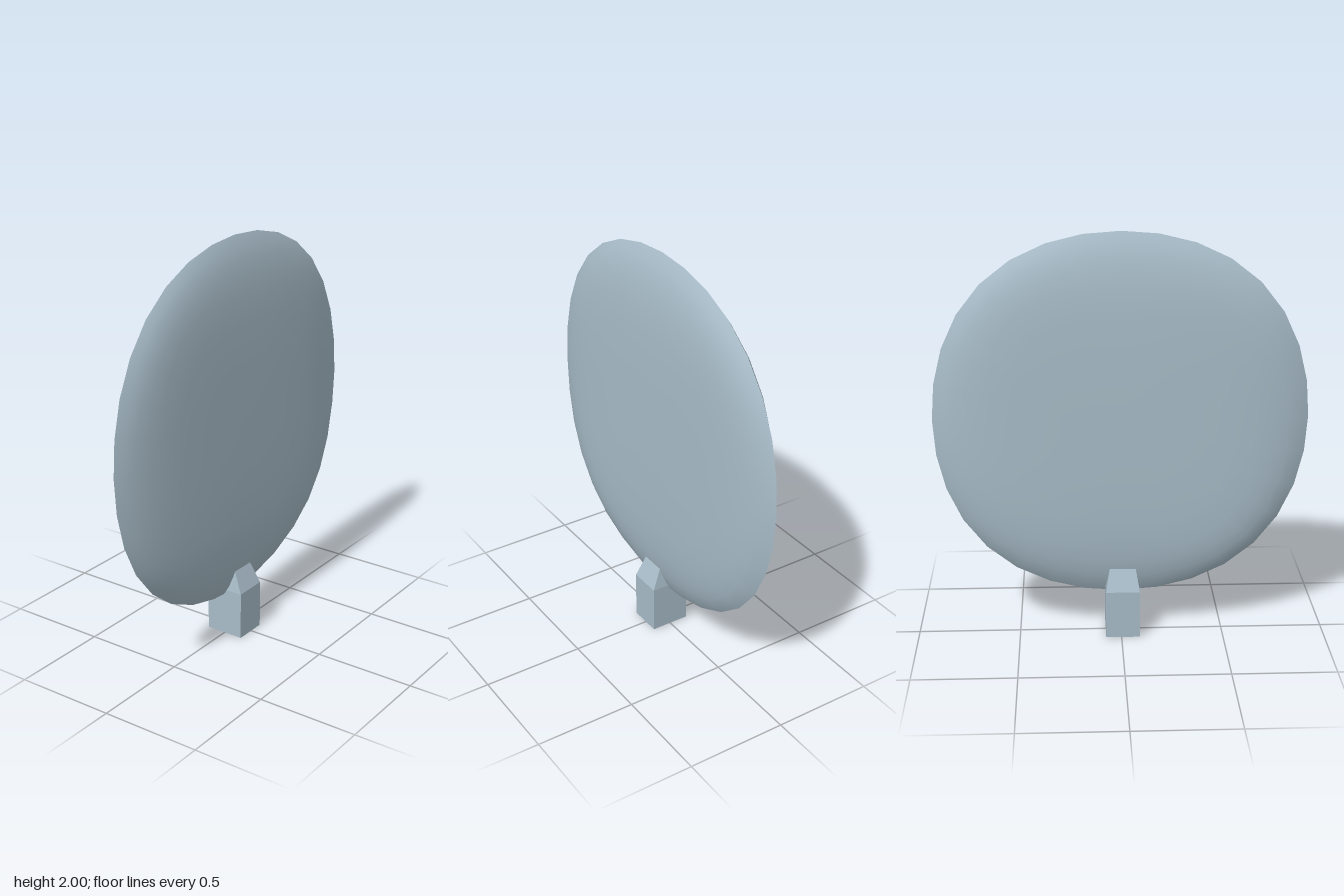
import * as THREE from 'three';

// Skins a stack of equal-length point loops; the last loop may collapse to a point
function loft(loops) {
  const n = loops[0].length, index = [];
  for (let i = 0; i < loops.length - 1; i++) {
    for (let j = 0; j < n; j++) {
      const a = i * n + j, b = i * n + (j + 1) % n;
      index.push(a, b, b + n, a, b + n, a + n);
    }
  }
  const geometry = new THREE.BufferGeometry();
  geometry.setAttribute('position', new THREE.Float32BufferAttribute(loops.flat(2), 3));
  geometry.setIndex(index);
  return geometry;
}

// One domed face of the disc: rings grow squarer toward the middle
function discHalf() {
  const sides = 32;
  const profile = [[0.895, 0], [0.85, 0.024], [0.79, 0.044], [0.72, 0.059],
    [0.63, 0.071], [0.5, 0.079], [0.3, 0.082], [0.1, 0.083], [0.0001, 0.083]];
  const loops = profile.map(([r, z]) => {
    const squareness = 0.031 + 0.12 * Math.min(1, (0.895 - r) / 0.3);
    return Array.from({ length: sides }, (_, j) => {
      const t = j / sides * Math.PI * 2;
      const radius = r * (1 + squareness * Math.sin(2 * t) ** 2);
      return [radius * Math.cos(t), radius * Math.sin(t), z];
    });
  });
  const geometry = loft(loops);
  geometry.computeVertexNormals();
  return geometry;
}

// Rectangular loop at height y, counter-clockwise seen from above
const rect = (w, d, y) => [[-w, y, d], [w, y, d], [w, y, -d], [-w, y, -d]];

export function createModel() {
  const group = new THREE.Group();
  const paint = new THREE.MeshStandardMaterial({ color: 0xa8bcc8 });
  paint.name = 'pale blue grey';

  // Lens-shaped disc, two halves meeting at a sharp rim
  const disc = new THREE.Group();
  disc.name = 'disc';
  const half = discHalf();
  ['discFront', 'discBack'].forEach((name, i) => {
    const mesh = new THREE.Mesh(half, paint);
    mesh.name = name;
    mesh.rotation.y = i * Math.PI;
    disc.add(mesh);
  });
  disc.position.y = 1.105;
  group.add(disc);

  // Post with a square socket underneath and a tapered top
  const postGeometry = loft([
    rect(0.0001, 0.0001, 0.2), rect(0.041, 0.049, 0.2), rect(0.041, 0.049, 0),
    rect(0.083, 0.098, 0), rect(0.083, 0.098, 0.24),
    rect(0.06, 0.04, 0.365), rect(0.0001, 0.0001, 0.365),
  ]).toNonIndexed();
  postGeometry.computeVertexNormals();
  const post = new THREE.Mesh(postGeometry, paint);
  post.name = 'post';
  post.position.x = -0.007;
  group.add(post);

  return group;
}
